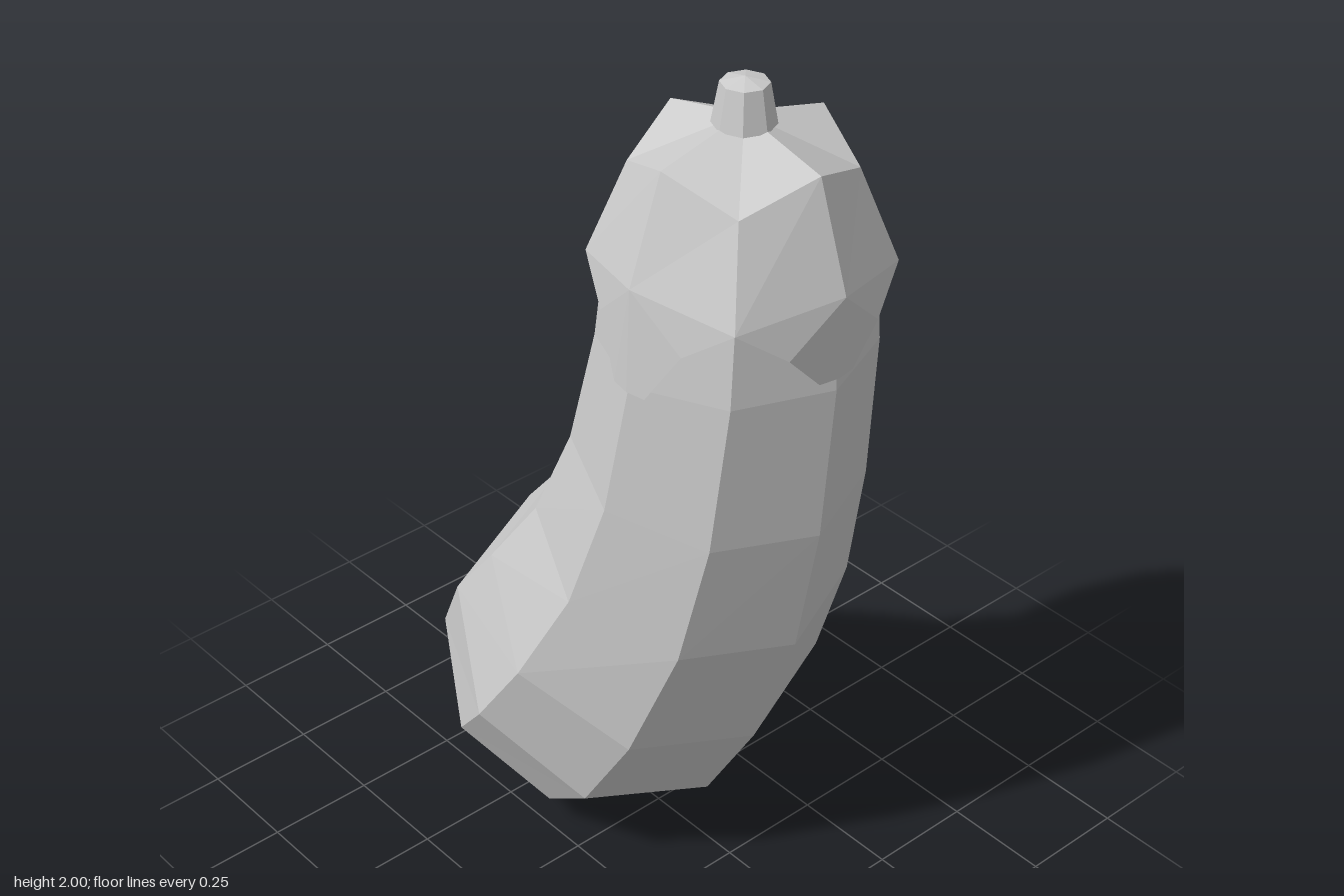
import * as THREE from 'three';

const SIDES = 8;
const AXIS_X = 0.25; // vertical axis of the cap and stem

const grey = new THREE.MeshStandardMaterial({ color: 0xcccccc, side: THREE.DoubleSide });
grey.name = 'plain grey';

// Faceted mesh from a list of corner triples
function facetMesh(name, points) {
  const g = new THREE.BufferGeometry().setFromPoints(points);
  g.computeVertexNormals();
  const mesh = new THREE.Mesh(g, grey);
  mesh.name = name;
  return mesh;
}

// Skin rings of points listed from top to bottom; a one-point ring is a pole
function loft(name, rings) {
  const tris = [];
  for (let r = 0; r < rings.length - 1; r++) {
    const up = rings[r], low = rings[r + 1];
    for (let i = 0; i < SIDES; i++) {
      const a = up[i % up.length], b = up[(i + 1) % up.length];
      const c = low[(i + 1) % low.length], d = low[i % low.length];
      if (a !== b) tris.push(a, b, c);
      if (c !== d) tris.push(a, c, d);
    }
  }
  return facetMesh(name, tris);
}

// Tilted ring spanning from its inner (-x) to its outer (+x) end
function tiltedRing([x0, y0, x1, y1, depth]) {
  return Array.from({ length: SIDES }, (_, i) => {
    const t = (i / SIDES) * Math.PI * 2, k = Math.cos(t) / 2;
    return new THREE.Vector3(
      (x0 + x1) / 2 + k * (x1 - x0), (y0 + y1) / 2 + k * (y1 - y0), depth * Math.sin(t));
  });
}

// Level ring around the cap axis; odd corners may have their own radius and height
function levelRing(r, y, rOdd = r, yOdd = y) {
  return Array.from({ length: SIDES }, (_, i) => {
    const t = (i / SIDES) * Math.PI * 2, rad = i % 2 ? rOdd : r;
    return new THREE.Vector3(AXIS_X + rad * Math.cos(t), i % 2 ? yOdd : y, rad * Math.sin(t));
  });
}

const pole = (x, y) => [new THREE.Vector3(x, y, 0)];

export function createModel() {
  const model = new THREE.Group();
  model.name = 'aubergine';

  // Curved body: inner x, y, outer x, y, half depth
  const sections = [
    [-0.02, 1.64, 0.52, 1.64, 0.27],
    [-0.05, 1.40, 0.53, 1.42, 0.29],
    [-0.12, 1.14, 0.50, 1.05, 0.315],
    [-0.22, 0.93, 0.44, 0.73, 0.35],
    [-0.34, 0.78, 0.32, 0.40, 0.40],
    [-0.46, 0.64, 0.17, 0.15, 0.41],
    [-0.55, 0.46, -0.02, 0.02, 0.36],
    [-0.55, 0.28, -0.22, 0.0, 0.22],
  ];
  model.add(loft('body', [pole(AXIS_X, 1.75), ...sections.map(tiltedRing), pole(-0.42, 0.11)]));

  // Faceted cap
  const rim = levelRing(0.295, 1.64, 0.312, 1.605);
  model.add(loft('cap', [pole(AXIS_X, 1.92), levelRing(0.215, 1.87, 0.228, 1.81), rim]));

  // Four pointed leaves hanging from the rim
  const tips = [[0.285, 1.45], [0.305, 1.41], [0.302, 1.44], [0.305, 1.41]];
  tips.forEach(([tipOut, tipY], n) => {
    const angle = (n * Math.PI) / 2;
    const at = (out, side, y) => new THREE.Vector3(
      AXIS_X + out * Math.cos(angle) - side * Math.sin(angle), y,
      out * Math.sin(angle) + side * Math.cos(angle));
    const top = rim[n * 2];
    const edge = [
      rim[(n * 2 + 7) % SIDES], at(0.268, -0.12, 1.53), at(tipOut - 0.008, -0.045, tipY),
      at(tipOut, 0, tipY), at(tipOut - 0.008, 0.045, tipY), at(0.268, 0.12, 1.53),
      rim[n * 2 + 1],
    ];
    const tris = [];
    for (let i = 0; i < edge.length - 1; i++) tris.push(top, edge[i + 1], edge[i]);
    model.add(facetMesh('capLeaf', tris));
  });

  // Short tapered stem
  model.add(loft('stem', [
    pole(AXIS_X, 2.0), levelRing(0.05, 1.988), levelRing(0.066, 1.9)]));

  return model;
}
